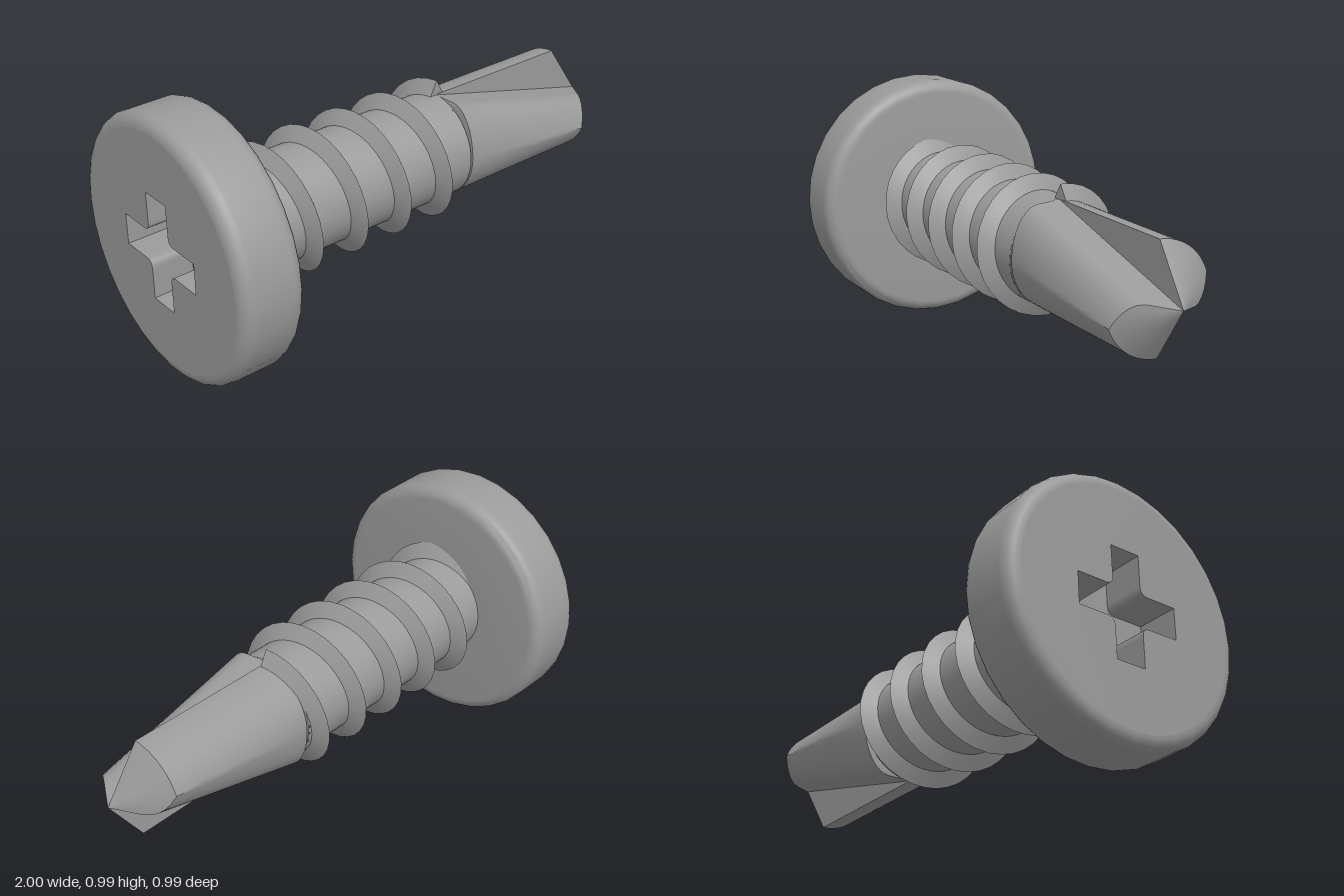
import * as THREE from 'three';
import { toCreasedNormals } from 'three/addons/utils/BufferGeometryUtils.js';

const SIDES = 32;
const HEAD_R = 0.495, HEAD_BACK = -1, HEAD_FRONT = -0.754, ROUND = 0.05;
const SHANK_R = 0.203, CREST_R = 0.26, PITCH = 0.2;
const FLUTE_START = 0.23, CONE_START = 0.86, TIP = 1;

// Skin a list of closed cross-sections, each an array of [x, y, z]
function loft(rings) {
  const n = rings[0].length, index = [];
  for (let i = 0; i < rings.length - 1; i++) {
    for (let j = 0; j < n; j++) {
      const k = (j + 1) % n;
      const a = i * n + j, b = a + n, c = (i + 1) * n + k, d = i * n + k;
      index.push(a, b, c, a, c, d);
    }
  }
  const g = new THREE.BufferGeometry();
  g.setAttribute('position', new THREE.Float32BufferAttribute(rings.flat(2), 3));
  g.setIndex(index);
  return toCreasedNormals(g, 0.6);
}

// Rounded rim and underside of the head
function headGeometry() {
  const pts = [];
  const corner = (x, from) => {
    for (let i = 0; i <= 6; i++) {
      const a = from + (i / 6) * Math.PI / 2;
      pts.push(new THREE.Vector2(HEAD_R - ROUND + ROUND * Math.cos(a), x + ROUND * Math.sin(a)));
    }
  };
  corner(HEAD_BACK + ROUND, -Math.PI / 2);
  corner(HEAD_FRONT - ROUND, 0);
  pts.push(new THREE.Vector2(SHANK_R - 0.01, HEAD_FRONT));
  return toCreasedNormals(new THREE.LatheGeometry(pts, SIDES).rotateZ(-Math.PI / 2), 0.6);
}

// Cross outline with softened inner corners
function crossPath(PathType) {
  const L = 0.21, w = 0.06, f = 0.03;
  const path = new PathType();
  for (let q = 0; q < 4; q++) {
    const c = Math.round(Math.cos(q * Math.PI / 2)), s = Math.round(Math.sin(q * Math.PI / 2));
    const r = (x, y) => [x * c - y * s, x * s + y * c];
    if (q === 0) path.moveTo(...r(L, -w));
    else path.lineTo(...r(L, -w));
    path.lineTo(...r(L, w));
    path.lineTo(...r(w + f, w));
    path.quadraticCurveTo(...r(w, w), ...r(w, w + f));
  }
  path.closePath();
  return path;
}

// Height of the flute floor across the blade: flat, then rounding down
function floorHeight(z) {
  const t = Math.min(1, Math.max(0, (z - 0.09) / 0.113));
  return -0.2 + 0.2 * Math.sqrt(1 - t * t);
}

// One section of the drill point: two half-sections turned by 180 degrees
function tipSection(x) {
  const r = Math.min(SHANK_R, SHANK_R * (TIP - x) / (TIP - CONE_START));
  const h = SHANK_R * (TIP - x) / (TIP - FLUTE_START);
  let lo = -Math.PI / 2, hi = Math.PI / 2;
  for (let i = 0; i < 40; i++) {
    const m = (lo + hi) / 2;
    if (r * Math.sin(m) > floorHeight(r * Math.cos(m)) + h) hi = m;
    else lo = m;
  }
  const half = [];
  for (let i = 0; i <= 18; i++) {
    const a = -Math.PI / 2 + (lo + Math.PI / 2) * i / 18;
    half.push([r * Math.sin(a), r * Math.cos(a)]);
  }
  const edge = r * Math.cos(lo);
  for (let i = 1; i <= 16; i++) {
    const z = i === 16 ? 0 : edge * Math.cos((i / 16) * Math.PI / 2);
    half.push([floorHeight(z) + h, z]);
  }
  return [...half.map(([y, z]) => [x, y, z]), ...half.map(([y, z]) => [x, -y, -z])];
}

function tipGeometry() {
  const rings = [];
  for (let i = 0; i <= 20; i++) {
    rings.push(tipSection(FLUTE_START + (CONE_START - FLUTE_START) * (i / 20) ** 2));
  }
  for (let i = 1; i <= 10; i++) rings.push(tipSection(CONE_START + (TIP - CONE_START) * i / 10));
  return loft(rings);
}

// Triangular ridge wound round the shank, square to its helix, starting inside the head
function threadGeometry() {
  const end = 0.239, half = 0.035, root = SHANK_R - 0.003, lean = 0.6;
  const first = -5.25 * SIDES;
  const rings = [];
  for (let i = first; i <= 0; i++) {
    const x = end + PITCH * i / SIDES;
    const at = (dx, r) => {
      const a = (i / SIDES) * Math.PI * 2 - dx * lean;
      return [x + dx, r * Math.cos(a), r * Math.sin(a)];
    };
    rings.push([at(-half, root), at(0, CREST_R), at(half, root)]);
  }
  const cap = [end, root, 0];
  rings.push([cap, cap, cap]);
  return loft(rings);
}

export function createModel() {
  const group = new THREE.Group();
  group.name = 'selfDrillingScrew';
  const material = new THREE.MeshStandardMaterial({ color: 0x9b9b9b });
  const add = (name, geometry) => {
    const mesh = new THREE.Mesh(geometry, material);
    mesh.name = name;
    mesh.position.y = HEAD_R;
    group.add(mesh);
  };

  add('head', headGeometry());

  // Flat head face pierced by the cross, and the floor of the recess
  const depth = 0.16;
  const disc = new THREE.Shape();
  for (let i = 0; i < SIDES; i++) {
    const a = (i / SIDES) * Math.PI * 2, r = HEAD_R - ROUND;
    disc[i ? 'lineTo' : 'moveTo'](r * Math.cos(a), r * Math.sin(a));
  }
  disc.closePath();
  disc.holes.push(crossPath(THREE.Path));
  const face = new THREE.ExtrudeGeometry(disc, { depth, bevelEnabled: false, curveSegments: 5 });
  add('headFace', face.translate(0, 0, -depth).rotateY(-Math.PI / 2).translate(HEAD_BACK, 0, 0));
  const floor = new THREE.ShapeGeometry(crossPath(THREE.Shape), 5);
  add('recessFloor', floor.rotateY(-Math.PI / 2).translate(HEAD_BACK + depth, 0, 0));

  // Plain shank
  const length = FLUTE_START - HEAD_FRONT + 0.01;
  const shank = new THREE.CylinderGeometry(SHANK_R, SHANK_R, length, SIDES * 2, 1, true);
  add('shank', shank.rotateZ(-Math.PI / 2).translate(FLUTE_START - length / 2, 0, 0));

  add('thread', threadGeometry());
  add('drillPoint', tipGeometry());
  return group;
}
